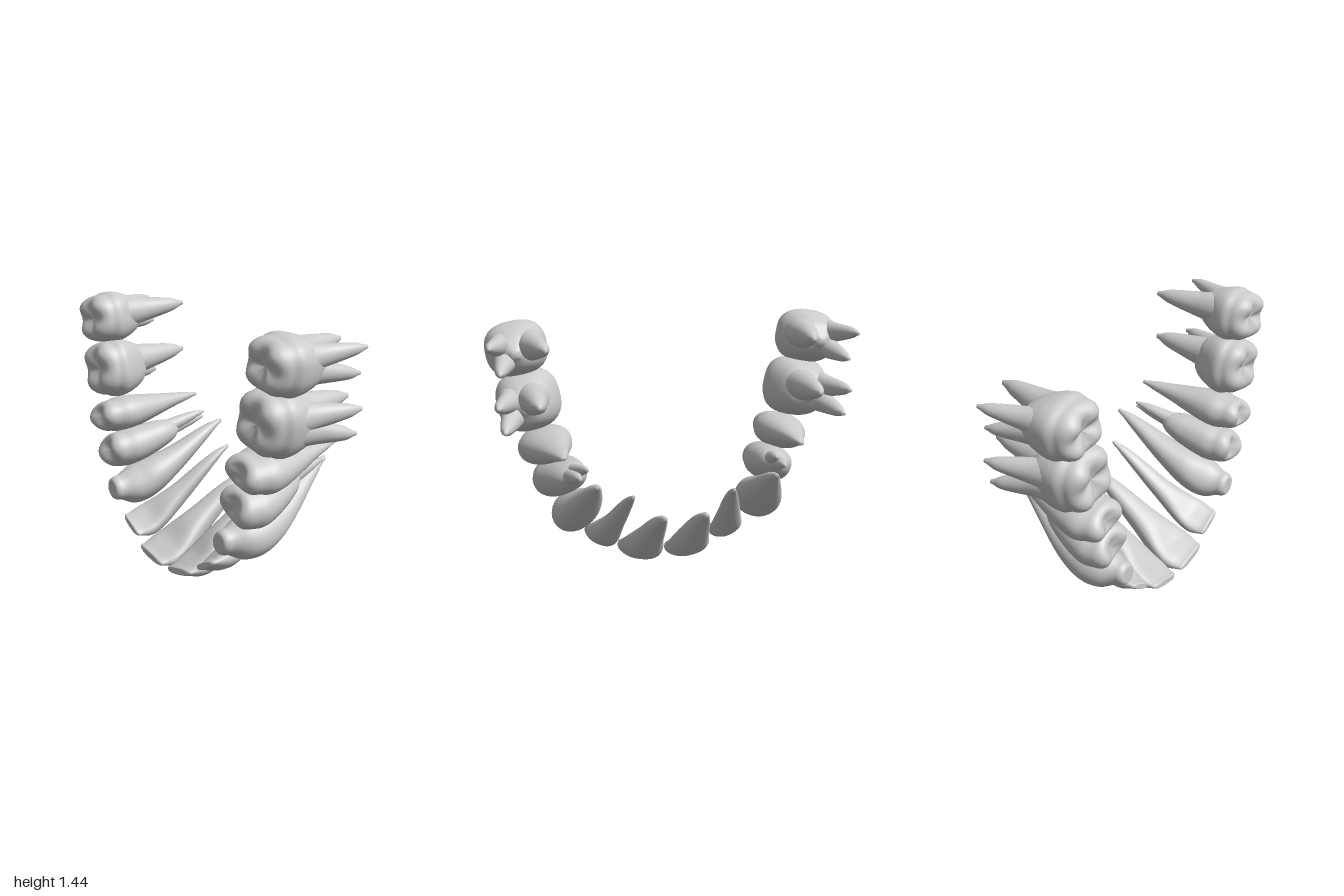
import * as THREE from 'three';

const SEG = 40, STEPS = 36, CAP = 14;

// Half length and half depth along a tooth, evenly spaced from biting face to tip
const profile = (w, d = w) => new THREE.SplineCurve(w.map((v, i) => new THREE.Vector2(v, d[i])));
const BLADE = profile([0.86, 1, 0.92, 0.76, 0.61, 0.51, 0.4, 0.27, 0.1], [0.26, 0.66, 0.93, 1, 0.94, 0.82, 0.63, 0.4, 0.15]);
const POINT = profile([0.62, 0.93, 1, 0.92, 0.77, 0.63, 0.48, 0.31, 0.1], [0.48, 0.84, 1, 1, 0.9, 0.73, 0.53, 0.32, 0.1]);
const PEG = profile([0.87, 1, 0.95, 0.82, 0.67, 0.52, 0.38, 0.25, 0.1]);
const STUB = profile([0.91, 1, 0.97, 0.88, 0.76, 0.55, 0.12]);
const ROOT = profile([1.35, 1.25, 1.08, 0.92, 0.75, 0.54, 0.18]);

// Shape of the biting face: squareness p, height h, central pit, grooves between cusps, inner hollow
const INCISOR = { shape: BLADE, p: 2.4, h: 0.02, dent: 0.35 };
const CANINE = { shape: POINT, p: 2.1, h: 0.045, dent: 0.12 };
const PREMOLAR = { p: 2.2, h: 0.075, pit: 0.5, groove: 0.4, splay: 0.35 };
const MOLAR = { shape: STUB, p: 2.6, h: 0.083, pit: 0.5, groove: 0.3, cusps: 4, splay: 0.5 };

// angle: arch tangent; size: half length and depth; bend: how late the axis swings to the tip
const FRONT = [
  { name: 'centralIncisor', kind: INCISOR, angle: 0.2, from: [0.14, 0.058, 0.335], to: [0.115, 0.437, -0.315], size: [0.133, 0.092], bend: 1.05 },
  { name: 'lateralIncisor', kind: INCISOR, angle: 0.48, from: [0.37, 0.163, 0.32], to: [0.276, 0.557, -0.275], size: [0.102, 0.082], bend: 1.15 },
  { name: 'canine', kind: CANINE, angle: 0.9, from: [0.532, 0.343, 0.315], to: [0.48, 0.655, -0.37], size: [0.116, 0.138], bend: 1.3 },
];
// roots: tip x, y, z and radius
const CHEEK = [
  { name: 'firstPremolar', kind: { ...PREMOLAR, shape: STUB }, angle: 1.17, from: [0.617, 0.548, 0.275], to: [0.565, 0.635, -0.13], size: [0.109, 0.143],
    roots: [[0.515, 0.72, -0.27, 0.045], [0.555, 0.678, -0.29, 0.05]] },
  { name: 'secondPremolar', kind: { ...PREMOLAR, shape: PEG }, angle: 1.3, from: [0.682, 0.738, 0.288], to: [0.64, 0.8, -0.295], size: [0.102, 0.15] },
  { name: 'firstMolar', kind: MOLAR, angle: 1.36, from: [0.757, 1.003, 0.255], to: [0.79, 1, -0.025], size: [0.17, 0.174],
    roots: [[0.75, 1.065, -0.275, 0.075], [0.92, 0.92, -0.185, 0.062], [0.95, 1.05, -0.19, 0.06]] },
  { name: 'secondMolar', kind: MOLAR, angle: 1.4, from: [0.815, 1.29, 0.25], to: [0.84, 1.295, -0.025], size: [0.148, 0.167],
    roots: [[0.71, 1.352, -0.25, 0.068], [0.935, 1.225, -0.185, 0.056], [0.985, 1.36, -0.18, 0.053]] },
];

// Lofts rounded sections from one point to another and closes both ends
function loft({ angle, from, to, size, bend = 1 }, { shape, p = 2, h = 0, pit = 0, groove = 0, cusps = 2, dent = 0 }, side) {
  const ca = Math.cos(angle), sa = Math.sin(angle);
  const pos = [], index = [];

  const ring = (t, r, lift) => {
    const b = t ** bend, e = (THREE.MathUtils.smoothstep(b, 0, 1) + b ** 1.5) / 2;
    const s = shape.getPoint(t);
    const [x, y, z] = [e, e, t].map((f, i) => THREE.MathUtils.lerp(from[i], to[i], f));
    for (let j = 0; j < SEG; j++) {
      const th = j / SEG * Math.PI * 2, cu = Math.cos(th), sv = Math.sin(th);
      const k = r / (Math.abs(cu) ** p + Math.abs(sv) ** p) ** (1 / p);
      const hollow = sv < 0 ? 1 - dent * sv * sv * Math.exp(-(((z - 0.23) / 0.07) ** 2)) : 1;
      const u = k * cu * s.x * size[0], v = k * sv * s.y * size[1] * hollow;
      pos.push(side * (x + u * ca + v * sa), y + u * sa - v * ca, z + lift(th));
    }
  };

  // biting face: a rounded rim falling into a grooved centre
  for (let i = 0; i < CAP; i++) {
    const r = Math.sin(i / CAP * Math.PI / 2), rim = 0.62;
    const dome = r > rim ? Math.sqrt(1 - ((r - rim) / (1 - rim)) ** 2)
      : 1 - pit * (Math.cos(Math.PI * r / rim) + 1) / 2;
    ring(0, r, th => {
      const valley = cusps === 4 ? 0.5 + 0.5 * Math.cos(4 * th) : Math.cos(th) ** 2;
      return h * dome * (1 - groove * valley * Math.min(1, r / 0.4));
    });
  }
  // sides and closed tip
  for (let i = 0; i <= STEPS; i++) ring(i / STEPS, 1, () => 0);
  ring(1, 0, () => 0);

  const rows = pos.length / 3 / SEG;
  for (let i = 0; i < rows - 1; i++) for (let j = 0; j < SEG; j++) {
    const a = i * SEG + j, b = i * SEG + (j + 1) % SEG, c = a + SEG, d = b + SEG;
    if (side > 0) index.push(a, b, c, b, d, c);
    else index.push(a, c, b, b, c, d);
  }
  const g = new THREE.BufferGeometry();
  g.setAttribute('position', new THREE.Float32BufferAttribute(pos, 3));
  g.setIndex(index);
  g.computeVertexNormals();
  return g;
}

export function createModel() {
  const model = new THREE.Group();
  model.name = 'upperTeeth';
  const enamel = new THREE.MeshStandardMaterial({ color: 0xcccccc });

  for (const side of [1, -1]) for (const spec of [...FRONT, ...CHEEK]) {
    const { name, kind, angle, from, roots = [] } = spec;
    const tooth = new THREE.Group();
    tooth.name = (side > 0 ? 'left_' : 'right_') + name;
    const add = (part, geometry) => {
      const mesh = new THREE.Mesh(geometry, enamel);
      mesh.name = part;
      tooth.add(mesh);
    };
    add('crown', loft(spec, kind, side));
    // separate roots start inside the crown and splay out to their tips
    roots.forEach(([x, y, z, radius], i) => {
      const start = [from[0] + (x - from[0]) * kind.splay, from[1] + (y - from[1]) * kind.splay, 0.15];
      const root = { angle, from: start, to: [x, y, z], size: [radius, radius] };
      add('root' + (i + 1), loft(root, { shape: ROOT }, side));
    });
    model.add(tooth);
  }
  return model;
}
